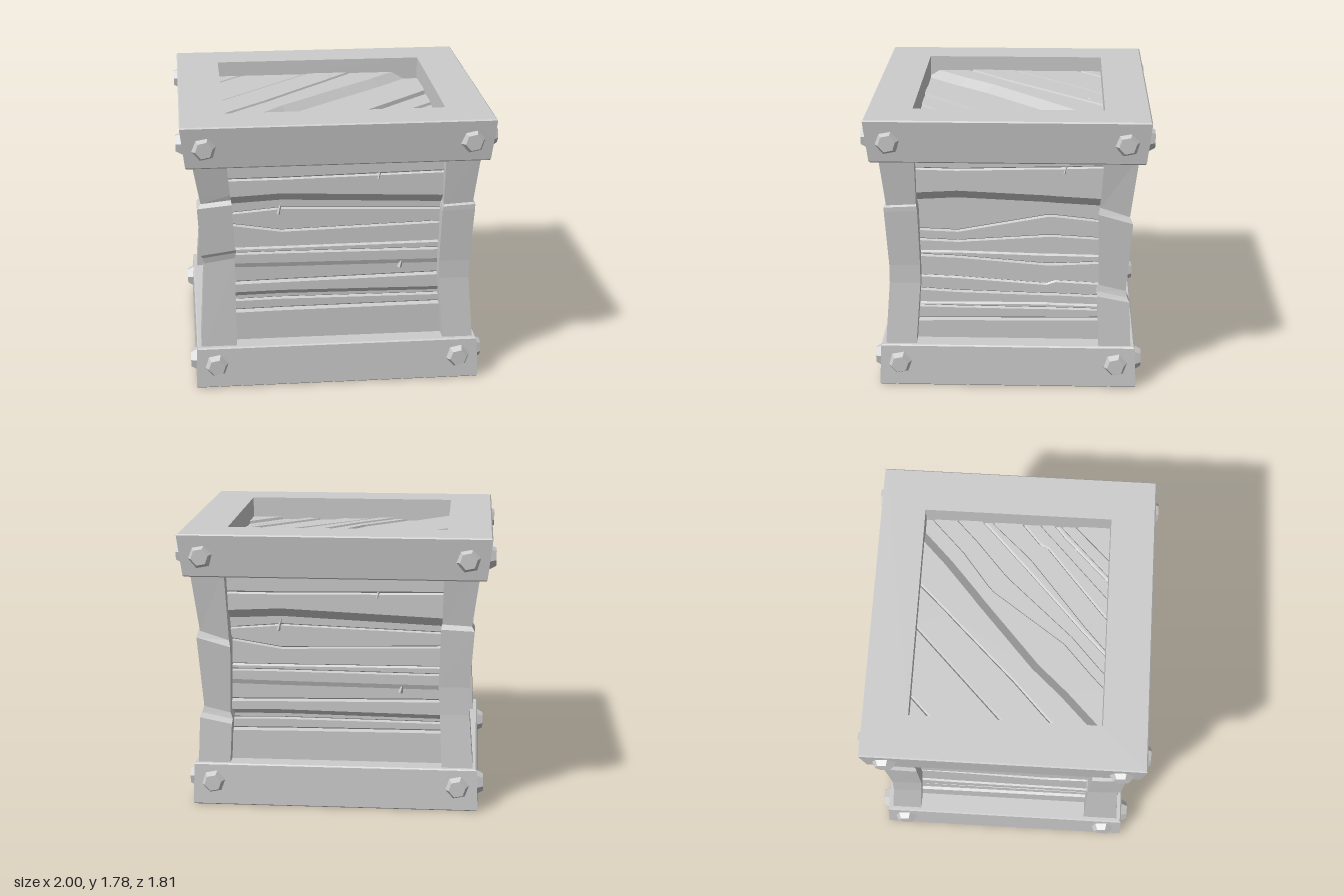
import * as THREE from 'three';

const wood = new THREE.MeshStandardMaterial({ color: 0xcccccc, side: THREE.DoubleSide });
wood.name = 'plainGrey';

// Flat-shaded mesh from a list of convex polygons
function polyMesh(name, polys) {
  const pos = [];
  for (const p of polys)
    for (let i = 1; i + 1 < p.length; i++)
      for (const v of [p[0], p[i], p[i + 1]]) pos.push(v.x, v.y, v.z);
  const geo = new THREE.BufferGeometry();
  geo.setAttribute('position', new THREE.Float32BufferAttribute(pos, 3));
  geo.computeVertexNormals();
  const mesh = new THREE.Mesh(geo, wood);
  mesh.name = name;
  return mesh;
}

// Quads between successive four-cornered rings
function loft(rings, closed) {
  const polys = [];
  const n = closed ? rings.length : rings.length - 1;
  for (let i = 0; i < n; i++) {
    const lo = rings[i], up = rings[(i + 1) % rings.length];
    for (let j = 0; j < 4; j++) {
      const k = (j + 1) % 4;
      polys.push([lo[j], lo[k], up[k], up[j]]);
    }
  }
  return polys;
}

// Mitred frame: profile points are [half width, half depth, height]
function frame(name, profile) {
  const signs = [[1, 1], [1, -1], [-1, -1], [-1, 1]];
  const rings = profile.map(([x, z, y]) => signs.map(([sx, sz]) => new THREE.Vector3(x * sx, y, z * sz)));
  return polyMesh(name, loft(rings, true));
}

// Chipped corner post: levels are [height, outer offset, inner offset, slant of the ring]
function post(name, sx, sz, levels) {
  const rings = levels.map(([y, o, i, s = 0]) => {
    const xo = 0.87 + o, zo = 0.77 + o, xi = 0.665 + i, zi = 0.565 + i;
    const ring = [[xi, zo, 1], [xo, zo, 0], [xo, zi, -1], [xi, zi, 0]]
      .map(([x, z, t]) => new THREE.Vector3(x * sx, y + s * t, z * sz));
    return sx * sz < 0 ? ring.reverse() : ring;
  });
  return polyMesh(name, loft(rings, false));
}

// Cut a polygon to a rectangle
function clip(poly, [x0, x1, y0, y1]) {
  const tests = [p => p.x - x0, p => x1 - p.x, p => p.y - y0, p => y1 - p.y];
  for (const f of tests) {
    const out = [];
    poly.forEach((a, i) => {
      const b = poly[(i + 1) % poly.length], fa = f(a), fb = f(b);
      if (fa >= 0) out.push(a);
      if (fa * fb < 0) out.push(a.clone().lerp(b, fa / (fa - fb)));
    });
    poly = out;
  }
  return poly;
}

// Plank wall: each seam is [width, depth of the plank below it, heights along us]
function planks(name, us, seams, rect, angle = 0, shift = 0) {
  const rows = [];
  const addRow = (ys, dy, d) => rows.push(us.map((u, i) =>
    new THREE.Vector3(u, ys[Math.min(Math.max(i - 1, 0), ys.length - 1)] + dy - shift, d)
      .applyAxisAngle(new THREE.Vector3(0, 0, 1), angle)));
  let depth = 0.02;
  addRow([2.3], 0, depth);
  for (const [w, d, ...ys] of seams) {
    addRow(ys, w / 2, depth);
    if (w < 0.03) addRow(ys, 0, Math.min(depth, d) - 0.012);
    addRow(ys, -w / 2, d);
    depth = d;
  }
  addRow([-0.2], 0, depth);
  const polys = [];
  for (let r = 0; r + 1 < rows.length; r++)
    for (let i = 0; i + 1 < us.length; i++) {
      const p = clip([rows[r + 1][i], rows[r + 1][i + 1], rows[r][i + 1], rows[r][i]], rect);
      if (p.length > 2) polys.push(p);
    }
  return polyMesh(name, polys);
}

// Small raised splinter on a plank
function splinter(x, y, z) {
  const mesh = new THREE.Mesh(new THREE.ConeGeometry(0.02, 0.08, 3).toNonIndexed(), wood);
  mesh.geometry.computeVertexNormals();
  mesh.name = 'splinter';
  mesh.scale.z = 0.7;
  mesh.position.set(x, y, z);
  mesh.rotation.z = -0.25;
  return mesh;
}

export function createModel() {
  const crate = new THREE.Group();
  crate.name = 'crate';

  crate.add(frame('topFrame', [
    [0.66, 0.56, 1.505], [0.938, 0.842, 1.505], [0.946, 0.85, 1.513], [0.976, 0.88, 1.772],
    [0.968, 0.872, 1.78], [0.695, 0.597, 1.78], [0.695, 0.597, 1.6]]));
  crate.add(frame('bottomFrame', [
    [0.63, 0.54, 0.22], [0.905, 0.81, 0], [0.915, 0.82, 0.008], [0.906, 0.81, 0.268],
    [0.898, 0.802, 0.276], [0.63, 0.54, 0.276]]));

  // Corner posts
  crate.add(post('frontRightPost', -1, 1, [[0.2, 0.012, -0.015], [0.84, -0.022, -0.012, 0.03],
    [0.88, -0.015, -0.022, 0.03], [0.9, -0.005, -0.015, 0.03], [1.22, 0.012, 0, 0.02],
    [1.245, -0.012, 0.005, 0.02], [1.3, -0.002, 0.01], [1.55, 0.04, 0.03]]));
  crate.add(post('frontLeftPost', 1, 1, [[0.2, 0.015, 0.025], [0.68, -0.02, -0.01],
    [0.8, -0.02, -0.01], [1.16, 0.003, 0, -0.01], [1.19, 0.003, 0.005, -0.01],
    [1.2, -0.01, 0.008, -0.01], [1.55, 0.03, 0.012]]));
  crate.add(post('backLeftPost', 1, -1, [[0.2, 0.015, 0.015], [0.57, 0, 0, -0.04],
    [0.6, -0.015, -0.005, -0.04], [0.64, -0.025, 0.01, -0.04], [1.1, 0.01, 0, -0.06],
    [1.14, -0.01, 0.01, -0.06], [1.55, 0.04, 0.03]]));
  crate.add(post('backRightPost', -1, -1, [[0.2, 0.015, 0.02], [0.62, -0.018, 0],
    [0.8, -0.02, -0.01], [1.17, 0.005, 0, 0.01], [1.2, -0.012, 0.008, 0.01], [1.55, 0.035, 0.015]]));

  // Plank walls, the same pair turned half round for the far sides
  const longU = [-1.2, -0.66, -0.35, 0.66, 1.2];
  const longSeams = [
    [0.02, 0.02, 1.385, 1.385, 1.4], [0.06, -0.03, 1.24, 1.255, 1.21],
    [0.015, -0.025, 1.145, 1.17, 1.135], [0.015, -0.015, 1.07, 1.02, 1.045],
    [0.022, -0.03, 0.905, 0.905, 0.91], [0.015, -0.02, 0.87, 0.87, 0.86],
    [0.03, -0.03, 0.79, 0.785, 0.775], [0.02, -0.015, 0.67, 0.675, 0.69],
    [0.032, -0.04, 0.59, 0.595, 0.58], [0.015, -0.03, 0.545, 0.55, 0.54],
    [0.02, -0.01, 0.475, 0.48, 0.485]];
  const shortU = [-1.2, -0.58, -0.32, 0.24, 0.3, 0.58, 1.2];
  const shortSeams = [
    [0.02, 0.02, 1.975], [0.02, 0.025, 1.655],
    [0.02, 0.02, 1.43, 1.425, 1.44, 1.44, 1.45], [0.06, -0.03, 1.24, 1.255, 1.23, 1.225, 1.21],
    [0.015, -0.02, 1.015, 1.005, 1.11, 1.11, 1.08], [0.015, -0.012, 0.95, 0.94, 0.98, 0.98, 0.965],
    [0.022, -0.03, 0.865, 0.865, 0.85, 0.85, 0.845], [0.015, -0.02, 0.84, 0.83, 0.785, 0.785, 0.8],
    [0.02, -0.03, 0.7, 0.69, 0.65, 0.67, 0.655], [0.015, -0.02, 0.61, 0.595, 0.58, 0.58, 0.57],
    [0.022, -0.035, 0.51, 0.512, 0.515, 0.51, 0.505], [0.015, -0.03, 0.49, 0.485, 0.48, 0.48, 0.475],
    [0.02, -0.015, 0.4, 0.405, 0.41, 0.41, 0.415]];
  for (let k = 0; k < 2; k++) {
    const longSide = new THREE.Group();
    longSide.name = k ? 'backWall' : 'frontWall';
    longSide.add(planks('planks', longU, longSeams, [-0.72, 0.72, 0.24, 1.55]));
    longSide.add(splinter(0.27, 1.4, 0.015), splinter(-0.36, 1.17, -0.025), splinter(0.42, 0.775, -0.025));
    longSide.rotation.y = k * Math.PI;
    longSide.position.z = k ? -0.7 : 0.7;

    const shortSide = new THREE.Group();
    shortSide.name = k ? 'rightWall' : 'leftWall';
    shortSide.add(planks('planks', shortU, shortSeams, [-0.62, 0.62, 0.24, 1.55]));
    shortSide.add(splinter(0.36, 1.44, 0.015));
    shortSide.rotation.y = Math.PI / 2 + k * Math.PI;
    shortSide.position.x = k ? -0.79 : 0.79;
    crate.add(longSide, shortSide);
  }

  // Lid of diagonal planks
  const lid = new THREE.Group();
  lid.name = 'lid';
  lid.add(planks('lidPlanks', shortU, shortSeams, [-0.7, 0.7, -0.6, 0.6], 0.77, 1.17));
  lid.add(splinter(0.08, 0.54, 0.015));
  lid.rotation.x = -Math.PI / 2;
  lid.position.y = 1.66;
  crate.add(lid);

  // Chamfered hexagonal bolts on every rail
  const boltGeo = new THREE.CylinderGeometry(0.055, 0.08, 0.045, 6).toNonIndexed();
  boltGeo.computeVertexNormals();
  boltGeo.rotateY(Math.PI / 6 + 0.2).rotateX(Math.PI / 2);
  for (const [y, x, z, faceX, faceZ] of [[1.64, 0.83, 0.732, 0.977, 0.881], [0.155, 0.783, 0.688, 0.925, 0.83]])
    for (let side = 0; side < 4; side++)
      for (const s of [-1, 1]) {
        const bolt = new THREE.Mesh(boltGeo, wood);
        bolt.name = 'bolt';
        bolt.position.set(s * (side % 2 ? z : x), y, side % 2 ? faceX : faceZ);
        bolt.position.applyAxisAngle(new THREE.Vector3(0, 1, 0), side * Math.PI / 2);
        bolt.rotation.y = side * Math.PI / 2;
        crate.add(bolt);
      }
  return crate;
}
